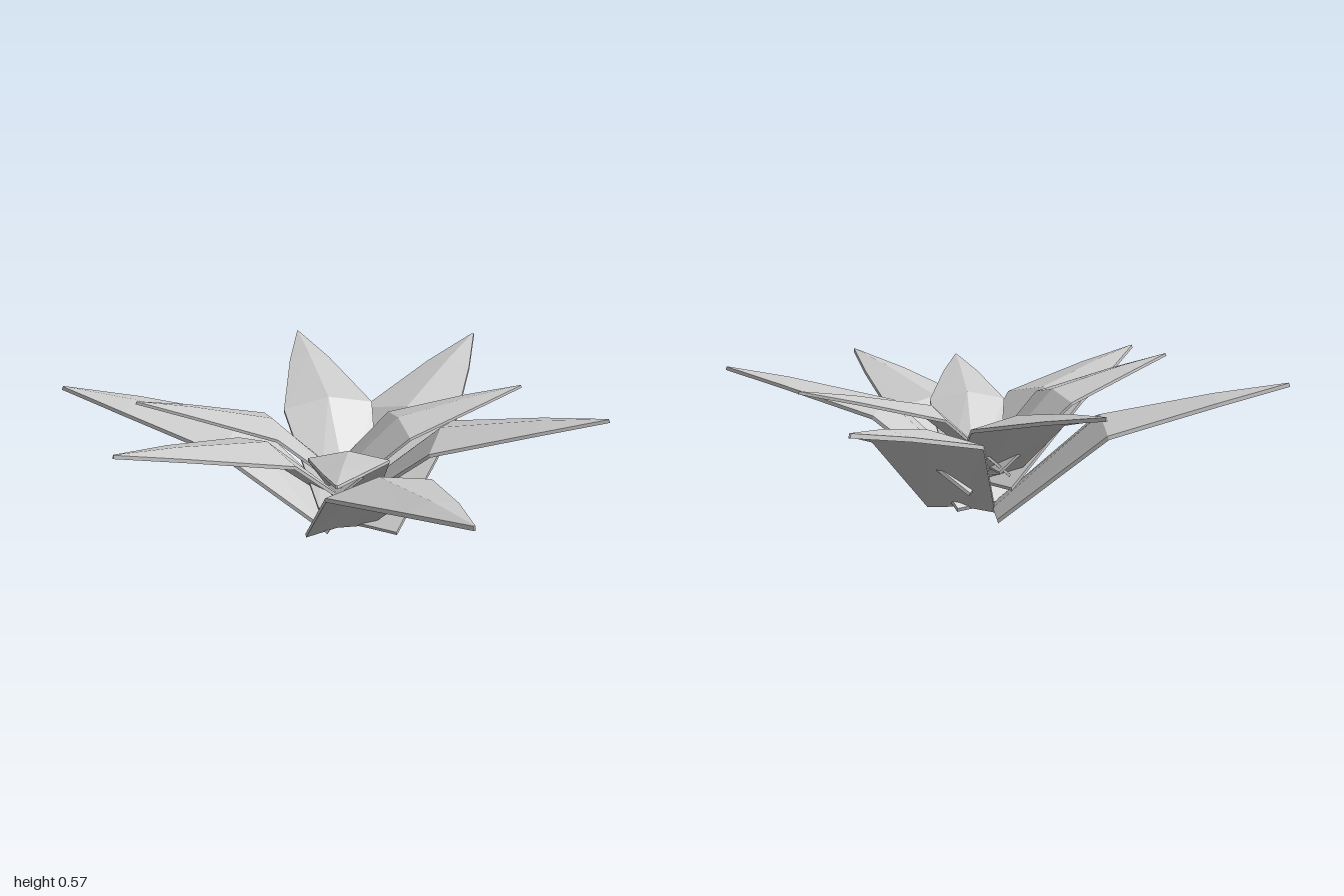
import * as THREE from 'three';

// Stations from base to tip: edge point (x outward, y up), half width,
// and the offset that lifts the midrib above the edges
const STATIONS = [
  { x: 0, y: 0.014, w: 0.135, rib: [-0.012, 0.01] },
  { x: 0.39, y: 0.34, w: 0.205, rib: [-0.005, 0.043] },
  { x: 0.8, y: 0.44, w: 0.096, rib: [0, 0.022] },
  { x: 1.08, y: 0.5, w: 0.003, rib: [0, 0.001] },
];
const UNDER = [0.005, -0.014]; // offset from upper to lower skin

// Thin folded leaf: a six-point section swept through the stations
function leafGeometry() {
  const positions = [];
  const index = [];
  for (const { x, y, w, rib } of STATIONS) {
    const top = [[x, y, -w], [x + rib[0], y + rib[1], 0], [x, y, w]];
    const under = top.map(([a, b, c]) => [a + UNDER[0], b + UNDER[1], c]).reverse();
    for (const p of [...top, ...under]) positions.push(...p);
  }
  const quad = (a, b, c, d) => index.push(a, b, c, a, c, d);
  const last = (STATIONS.length - 1) * 6;
  for (let i = 0; i < last; i += 6) {
    for (let j = 0; j < 6; j++) {
      const k = (j + 1) % 6;
      quad(i + j, i + k, i + 6 + k, i + 6 + j);
    }
  }
  // End caps
  quad(5, 4, 1, 0);
  quad(4, 3, 2, 1);
  quad(last, last + 1, last + 4, last + 5);
  quad(last + 1, last + 2, last + 3, last + 4);

  const geometry = new THREE.BufferGeometry();
  geometry.setAttribute('position', new THREE.Float32BufferAttribute(positions, 3));
  geometry.setIndex(index);
  const flat = geometry.toNonIndexed();
  flat.computeVertexNormals();
  return flat;
}

// Three stacked tiers of three leaves: tip position, heading and pitch in degrees
const TIERS = [
  { name: 'outerLeaf', scale: 1, leaves: [
    { tip: [-0.75, 0.5, -0.97], heading: -131.4, pitch: 0 },
    { tip: [0.99, 0.5, -0.455], heading: -23.8, pitch: 0 },
    { tip: [-0.39, 0.5, 0.965], heading: 106.1, pitch: 0 },
  ] },
  { name: 'middleLeaf', scale: 0.885, leaves: [
    { tip: [0.37, 0.52, -0.93], heading: -64.5, pitch: -0.7 },
    { tip: [0.53, 0.54, 0.705], heading: 57.6, pitch: 0 },
    { tip: [-1, 0.548, -0.11], heading: 180.3, pitch: 0.5 },
  ] },
  { name: 'innerLeaf', scale: 0.72, leaves: [
    { tip: [0.62, 0.51, 0.19], heading: 24.5, pitch: 0 },
    { tip: [-0.53, 0.505, 0.48], heading: 133.3, pitch: 0 },
    { tip: [-0.71, 0.57, -0.46], heading: -154.2, pitch: 3 },
  ] },
];

export function createModel() {
  const group = new THREE.Group();
  group.name = 'rosettePlant';
  const material = new THREE.MeshStandardMaterial({ color: 0xcccccc, flatShading: true });
  const geometry = leafGeometry();
  const end = STATIONS[STATIONS.length - 1];

  for (const { name, scale, leaves } of TIERS) {
    leaves.forEach(({ tip, heading, pitch }, i) => {
      const leaf = new THREE.Mesh(geometry, material);
      leaf.name = `${name}${i + 1}`;
      leaf.rotation.set(0, THREE.MathUtils.degToRad(-heading), THREE.MathUtils.degToRad(pitch), 'YZX');
      leaf.scale.setScalar(scale);
      // Place the leaf so that its point lands on the given tip
      const reach = new THREE.Vector3(end.x, end.y, 0).multiplyScalar(scale).applyEuler(leaf.rotation);
      leaf.position.set(...tip).sub(reach);
      group.add(leaf);
    });
  }
  return group;
}
